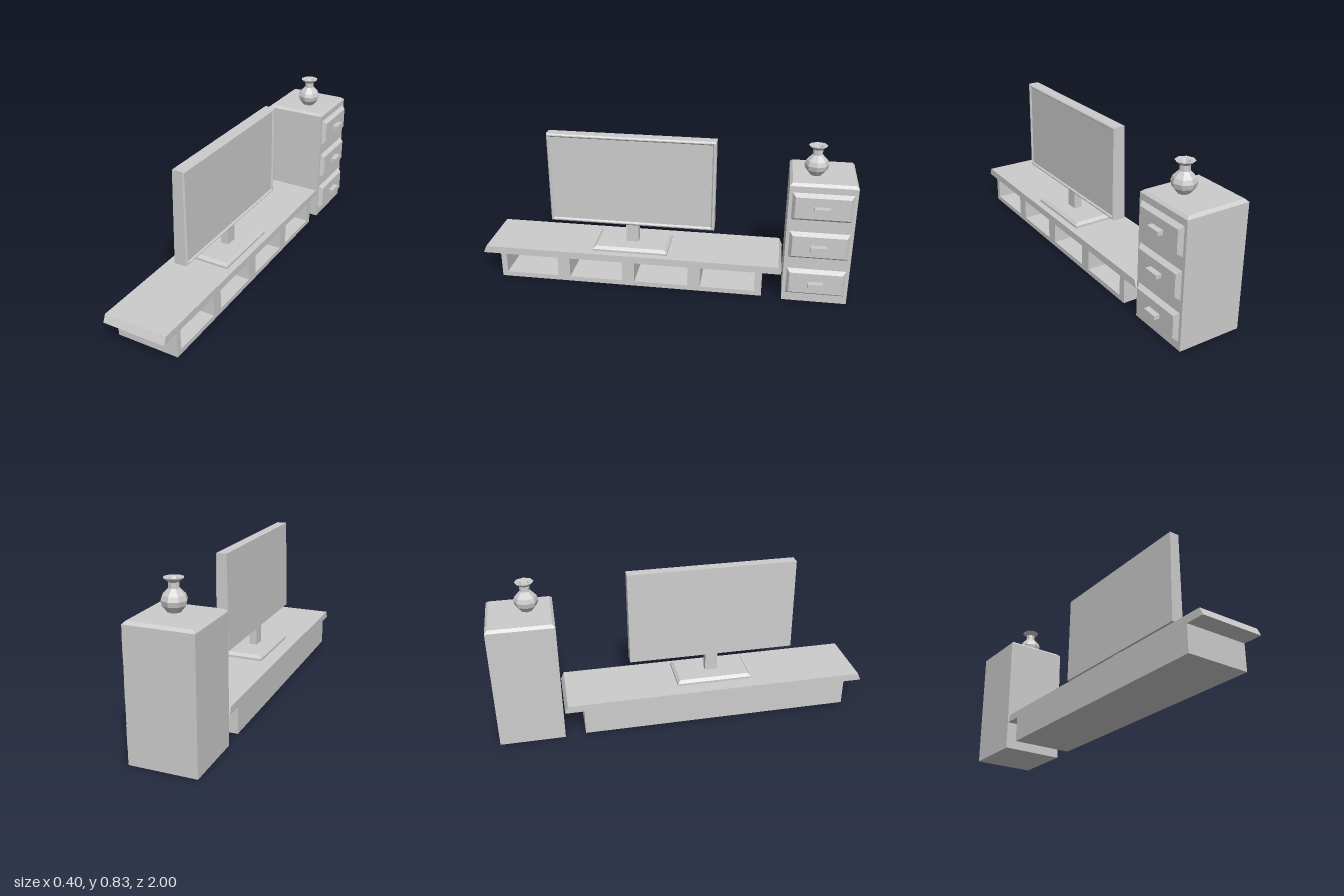
import * as THREE from 'three';

const grey = new THREE.MeshStandardMaterial({ color: 0xcccccc });
grey.name = 'plain grey';

// Closed solid through rectangular rings [t, u0, u1, v0, v1].
// Axis x: t = x, u = y, v = z.  Axis y: t = y, u = z, v = x.
function loft(axis, rings) {
  const place = axis === 'x' ? (t, u, v) => [t, u, v] : (t, u, v) => [v, t, u];
  const corners = rings.map(([t, u0, u1, v0, v1]) =>
    [place(t, u0, v0), place(t, u1, v0), place(t, u1, v1), place(t, u0, v1)]);
  const pos = [];
  const quad = (a, b, c, d) => pos.push(...a, ...b, ...c, ...a, ...c, ...d);
  for (let r = 0; r < corners.length - 1; r++) {
    const low = corners[r], high = corners[r + 1];
    for (let i = 0; i < 4; i++) {
      const j = (i + 1) % 4;
      quad(low[i], low[j], high[j], high[i]);
    }
  }
  const [a, b, c, d] = corners[0];
  quad(d, c, b, a);
  quad(...corners[corners.length - 1]);
  const geo = new THREE.BufferGeometry();
  geo.setAttribute('position', new THREE.Float32BufferAttribute(pos, 3));
  geo.computeVertexNormals();
  return geo;
}

function add(parent, name, geo) {
  const mesh = new THREE.Mesh(geo, grey);
  mesh.name = name;
  parent.add(mesh);
  return mesh;
}

function group(parent, name) {
  const g = new THREE.Group();
  g.name = name;
  parent.add(g);
  return g;
}

function box(parent, name, x0, x1, y0, y1, z0, z1) {
  const geo = new THREE.BoxGeometry(x1 - x0, y1 - y0, z1 - z0);
  geo.translate((x0 + x1) / 2, (y0 + y1) / 2, (z0 + z1) / 2);
  return add(parent, name, geo);
}

function buildBench(root) {
  const bench = group(root, 'lowBench');
  // Top board with sloping ends
  add(bench, 'benchTop', loft('y', [
    [0.15, -0.65, 1, -0.2, 0.145],
    [0.19, -0.633, 0.983, -0.2, 0.145],
  ]));
  // Comb-shaped section leaves four open compartments
  const comb = new THREE.Shape();
  comb.moveTo(-0.9, 0.01);
  comb.lineTo(0.55, 0.01);
  comb.lineTo(0.55, 0.15);
  for (let i = 3; i >= 0; i--) {
    const start = -0.869 + i * 0.362, end = start + 0.294;
    comb.lineTo(end, 0.15);
    comb.lineTo(end, 0.037);
    comb.lineTo(start, 0.037);
    comb.lineTo(start, 0.15);
  }
  comb.lineTo(-0.9, 0.15);
  const geo = new THREE.ExtrudeGeometry(comb, { depth: 0.315, bevelEnabled: false });
  geo.rotateY(Math.PI / 2);
  geo.translate(-0.17, 0, 0);
  add(bench, 'benchCompartments', geo);
  box(bench, 'benchBack', -0.2, -0.17, 0.01, 0.15, -0.55, 0.9);
}

function buildTelevision(root) {
  const tv = group(root, 'television');
  add(tv, 'standBase', loft('y', [
    [0.19, -0.03, 0.382, -0.122, 0.108],
    [0.202, -0.03, 0.382, -0.122, 0.108],
    [0.217, -0.015, 0.367, -0.107, 0.094],
  ]));
  box(tv, 'standNeck', -0.029, 0.015, 0.21, 0.335, 0.142, 0.21);
  // Casing, chamfered rim and recessed screen
  const y0 = 0.323, y1 = 0.832, z0 = -0.277, z1 = 0.629;
  const inset = (x, d) => [x, y0 + d, y1 - d, z0 + d, z1 - d];
  const geo = loft('x', [
    inset(-0.04, 0), inset(0.027, 0), inset(0.033, 0.007),
    inset(0.033, 0.012), inset(0.025, 0.019),
  ]);
  // The back leans, thinner at the top
  const p = geo.attributes.position;
  for (let i = 0; i < p.count; i++) {
    if (p.getX(i) < -0.03 && p.getY(i) > 0.5) p.setX(i, -0.028);
  }
  geo.computeVertexNormals();
  add(tv, 'screenAndCasing', geo);
}

function buildCabinet(root) {
  const cabinet = group(root, 'drawerCabinet');
  add(cabinet, 'cabinetBody', loft('y', [
    [0, -1, -0.658, -0.2, 0.145],
    [0.665, -1, -0.658, -0.2, 0.145],
    [0.679, -0.986, -0.672, -0.185, 0.131],
  ]));
  // Three drawers with bevelled fronts and bar handles
  [0.122, 0.338, 0.556].forEach((y, i) => {
    const drawer = group(cabinet, 'drawer' + (i + 1));
    add(drawer, 'drawerFront', loft('x', [
      [0.145, y - 0.075, y + 0.075, -0.983, -0.676],
      [0.167, y - 0.058, y + 0.058, -0.967, -0.692],
    ]));
    box(drawer, 'drawerHandle', 0.167, 0.197, y - 0.011, y + 0.011, -0.868, -0.788);
  });
}

function buildVase(root) {
  // Eight-sided vase, open at the top
  const profile = [
    [0, 0.679], [0.032, 0.679], [0.057, 0.71], [0.063, 0.735], [0.055, 0.757],
    [0.026, 0.787], [0.025, 0.815], [0.037, 0.824], [0.049, 0.835],
    [0.025, 0.832], [0.018, 0.815], [0.018, 0.78], [0, 0.78],
  ].map(([r, y]) => new THREE.Vector2(r, y));
  const geo = new THREE.LatheGeometry(profile, 8).toNonIndexed();
  geo.computeVertexNormals();
  add(root, 'vase', geo).position.z = -0.79;
}

export function createModel() {
  const root = new THREE.Group();
  root.name = 'televisionFurnitureSet';
  buildBench(root);
  buildTelevision(root);
  buildCabinet(root);
  buildVase(root);
  return root;
}
